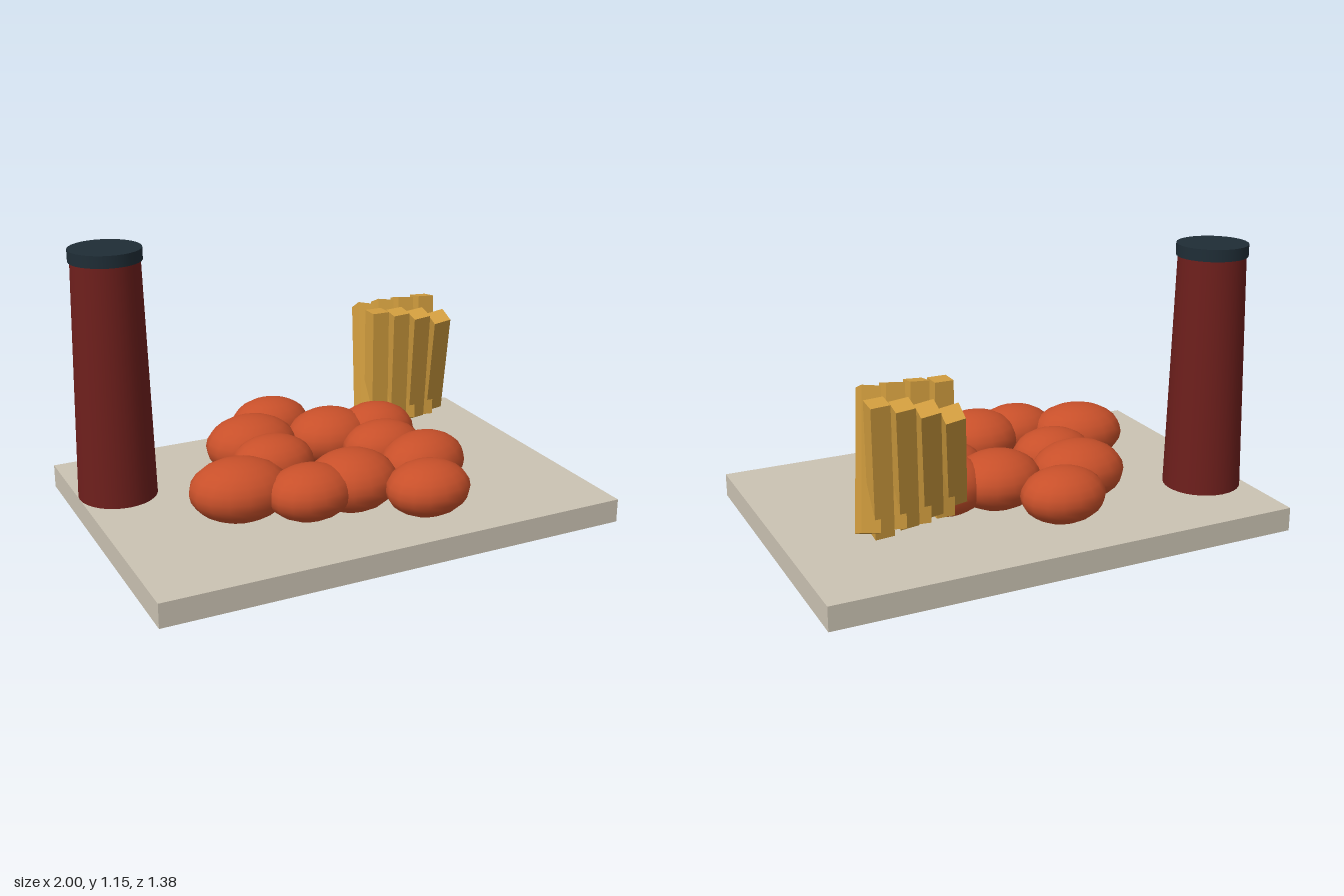
import * as THREE from 'three';

const mat = (color) => new THREE.MeshStandardMaterial({ color });

export function createModel() {
  const model = new THREE.Group();
  const add = (name, geometry, material, x, y, z) => {
    const mesh = new THREE.Mesh(geometry, material);
    mesh.name = name;
    mesh.position.set(x, y, z);
    model.add(mesh);
    return mesh;
  };

  // Serving board
  add('board', new THREE.BoxGeometry(2, 0.1, 1.385), mat(0xcbc3b3), 0, 0.05, 0);

  // Tapered sauce bottle with a flat cap
  add('bottle', new THREE.CylinderGeometry(0.14, 0.165, 1, 32), mat(0x6e1f1c), -0.835, 0.6, -0.285);
  add('bottleCap', new THREE.CylinderGeometry(0.148, 0.148, 0.05, 32), mat(0x1f2d36), -0.835, 1.125, -0.285);

  // Ring of nuggets: x, z, half width, half height, half depth, yaw
  const nuggetMat = mat(0xc8502a);
  const nuggetGeo = new THREE.SphereGeometry(1, 16, 12);
  const nuggets = [
    [-0.07, -0.44, 0.177, 0.112, 0.147, 0],
    [-0.25, -0.23, 0.2, 0.127, 0.17, 0],
    [0.095, -0.18, 0.188, 0.122, 0.165, 0],
    [0.31, -0.155, 0.177, 0.122, 0.145, 0],
    [0.246, 0.035, 0.178, 0.112, 0.14, 0],
    [-0.245, -0.015, 0.177, 0.112, 0.145, 0],
    [-0.48, 0.19, 0.204, 0.127, 0.168, -0.15],
    [-0.24, 0.335, 0.177, 0.112, 0.147, 0],
    [-0.035, 0.3, 0.188, 0.125, 0.17, 0],
    [0.315, 0.255, 0.202, 0.125, 0.152, 0.3],
    [0.2, 0.5, 0.177, 0.112, 0.147, 0],
  ];
  for (const [x, z, w, h, d, yaw] of nuggets) {
    const nugget = add('nugget', nuggetGeo, nuggetMat, x, 0.235, z);
    nugget.scale.set(w, h, d);
    nugget.rotation.y = yaw;
  }

  // Two rows of fries, each leaning a little further than the last
  const fryMat = mat(0xd09c3e);
  const fryGeo = new THREE.BoxGeometry(0.077, 0.555, 0.077);
  for (let i = 0; i < 8; i++) {
    const fry = add('fry', fryGeo, fryMat, 0.387 + 0.1 * (i % 4), 0.457, i < 4 ? -0.405 : -0.288);
    fry.rotation.set((i - 4) * 0.14, 0, (i - 4) * 0.06);
  }

  return model;
}
